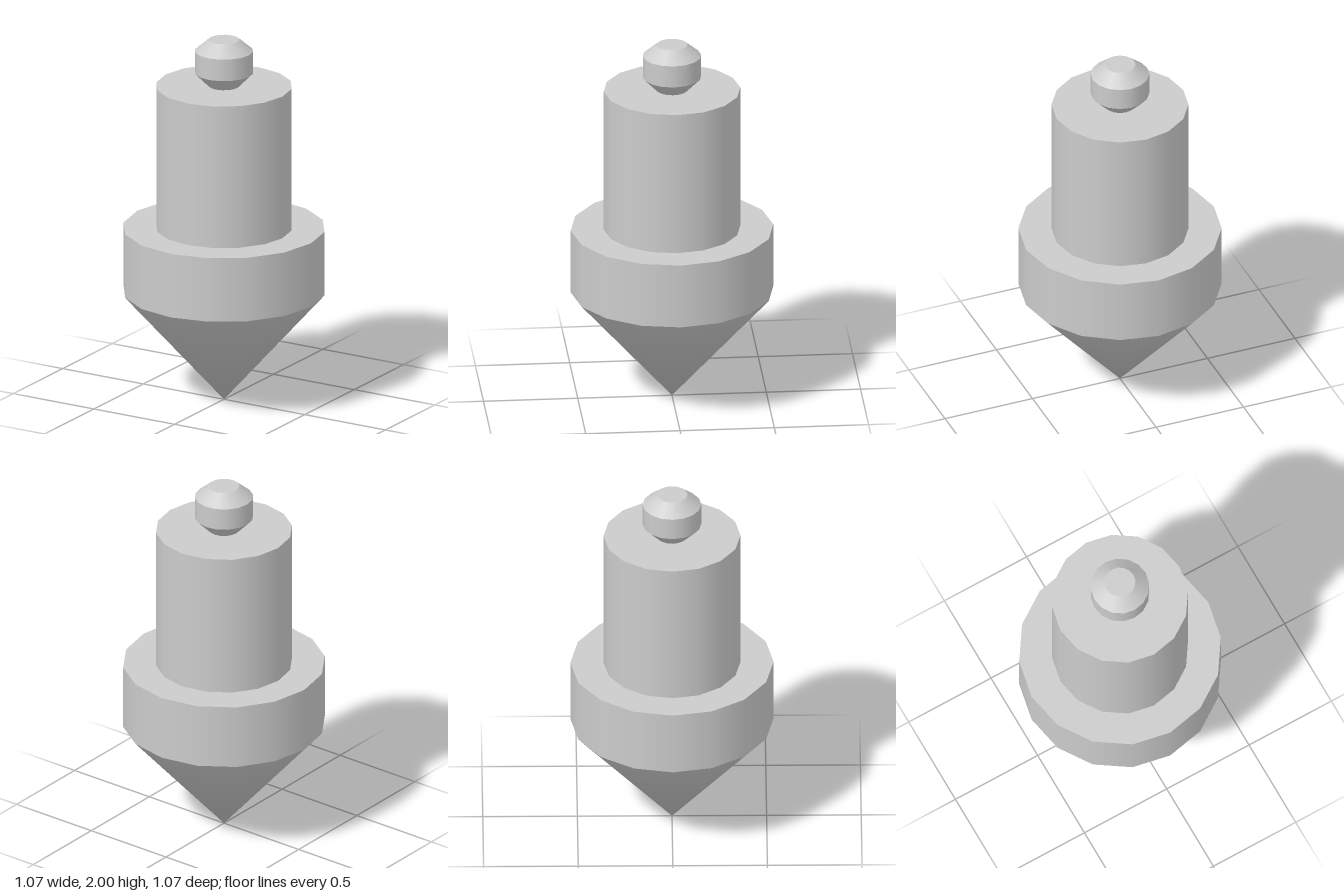
import * as THREE from 'three';
import { mergeVertices } from 'three/addons/utils/BufferGeometryUtils.js';

const SIDES = 16;

export function createModel() {
  const group = new THREE.Group();
  const material = new THREE.MeshStandardMaterial({ color: 0xcccccc });

  const add = (name, geometry, y) => {
    const mesh = new THREE.Mesh(geometry, material);
    mesh.name = name;
    mesh.position.y = y;
    group.add(mesh);
  };

  // Round section between two heights, with optional end caps
  const section = (name, y0, y1, r0, r1, open = false) =>
    add(name, new THREE.CylinderGeometry(r1, r0, y1 - y0, SIDES, 1, open), (y0 + y1) / 2);

  // Pointed tip: a downward cone whose apex shares one smooth normal
  const h = 0.604;
  let tip = new THREE.ConeGeometry(0.537, h, SIDES, 1, true);
  tip.rotateX(Math.PI);
  tip.deleteAttribute('uv');
  tip.deleteAttribute('normal');
  tip = mergeVertices(tip);
  tip.computeVertexNormals();
  add('tip', tip, h / 2);

  // Wide collar and main shaft
  section('collar', h, 0.957, 0.537, 0.537);
  section('shaft', 0.957, 1.744, 0.362, 0.362);

  // Knob with chamfers below and above
  section('knobNeck', 1.744, 1.818, 0.082, 0.155, true);
  section('knobBand', 1.818, 1.938, 0.155, 0.155, true);
  section('knobTop', 1.938, 2, 0.155, 0.082);

  return group;
}
